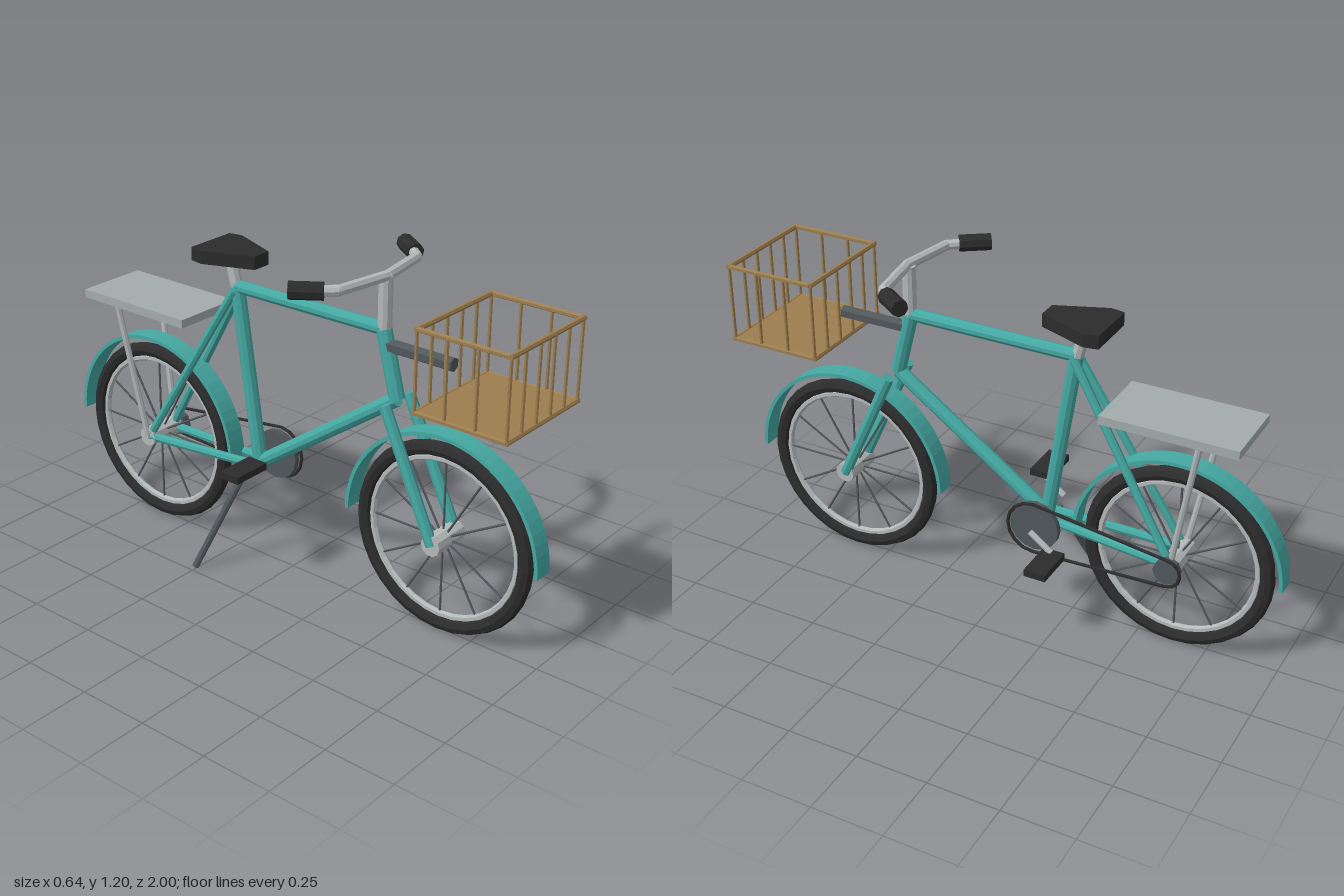
import * as THREE from 'three';

const mat = (name, color) => {
  const m = new THREE.MeshStandardMaterial({ color, flatShading: true });
  m.name = name;
  return m;
};

export function createModel() {
  const teal = mat('teal paint', 0x45a9a3);
  const black = mat('black rubber', 0x2c2c2c);
  const slate = mat('dark steel', 0x50575b);
  const silver = mat('silver metal', 0xb4b9b9);
  const rackGrey = mat('rack grey', 0xa3acab);
  const brown = mat('basket brown', 0x9c7d4e);

  const model = new THREE.Group();
  model.name = 'bicycle';
  const V = (p) => new THREE.Vector3(...p);

  const add = (name, geometry, material, pos = [0, 0, 0], parent = model) => {
    const mesh = new THREE.Mesh(geometry, material);
    mesh.name = name;
    mesh.position.set(...pos);
    parent.add(mesh);
    return mesh;
  };
  // straight round bar between two points
  const rod = (name, a, b, r, material, sides = 8, parent = model) => {
    const p = V(a), d = V(b).sub(p);
    const mesh = add(name, new THREE.CylinderGeometry(r, r, d.length(), sides), material, [0, 0, 0], parent);
    mesh.position.copy(p).addScaledVector(d, 0.5);
    mesh.quaternion.setFromUnitVectors(new THREE.Vector3(0, 1, 0), d.normalize());
    return mesh;
  };
  const box = (name, w, h, d, material, pos, parent) =>
    add(name, new THREE.BoxGeometry(w, h, d), material, pos, parent);

  // main points
  const axleY = 0.345, axleZ = 0.626;
  const headTop = [0, 1.0, 0.37], headBottom = [0, 0.776, 0.428];
  const seatTop = [0, 0.995, -0.242], bottomBracket = [0, 0.37, -0.147];

  // wheels with mudguards
  for (const [name, z] of [['frontWheel', axleZ], ['rearWheel', -axleZ]]) {
    const wheel = new THREE.Group();
    wheel.name = name;
    wheel.position.set(0, axleY, z);
    model.add(wheel);
    add('tyre', new THREE.TorusGeometry(0.311, 0.026, 8, 32), black, [0, 0, 0], wheel).rotation.y = Math.PI / 2;
    add('rim', new THREE.TorusGeometry(0.28, 0.012, 6, 32), silver, [0, 0, 0], wheel).rotation.y = Math.PI / 2;
    rod('hub', [-0.073, 0, 0], [0.073, 0, 0], 0.036, silver, 10, wheel);
    for (let i = 0; i < 12; i++) {
      const a = (i * Math.PI) / 6;
      rod('spoke', [0, 0, 0], [0, 0.275 * Math.sin(a), 0.275 * Math.cos(a)], 0.004, slate, 5, wheel);
    }
    const arc = new THREE.Shape();
    arc.absarc(0, 0, 0.373, 0, Math.PI, false);
    arc.absarc(0, 0, 0.36, Math.PI, 0, true);
    const guard = new THREE.ExtrudeGeometry(arc, { depth: 0.07, bevelEnabled: false, curveSegments: 16 });
    guard.translate(0, 0, -0.035).rotateY(Math.PI / 2);
    add('mudguard', guard, teal, [0, 0, 0], wheel);
  }

  // frame
  rod('headTube', headBottom, headTop, 0.026, teal, 10);
  rod('topTube', headTop, seatTop, 0.023, teal, 10);
  rod('downTube', headBottom, bottomBracket, 0.025, teal, 10);
  rod('seatTube', seatTop, bottomBracket, 0.025, teal, 10);
  for (const s of [-1, 1]) {
    rod('forkBlade', [s * 0.065, 0.775, 0.428], [s * 0.065, axleY, axleZ], 0.02, teal);
    rod('seatStay', [s * 0.018, 0.985, -0.242], [s * 0.06, axleY, -axleZ], 0.015, teal);
    rod('chainStay', [s * 0.03, 0.37, -0.147], [s * 0.06, axleY, -axleZ], 0.016, teal);
    rod('rackStrut', [s * 0.07, axleY, -axleZ], [s * 0.107, 0.85, -0.715], 0.011, silver);
  }

  // saddle
  rod('seatPost', [0, 0.97, -0.24], [0, 1.09, -0.27], 0.021, silver);
  const outline = [[-0.095, 0.36], [0.095, 0.36], [0.103, 0.31], [0.035, 0.135], [-0.035, 0.135], [-0.103, 0.31]];
  const saddleShape = new THREE.Shape(outline.map(([x, y]) => new THREE.Vector2(x, y)));
  const saddle = new THREE.ExtrudeGeometry(saddleShape, { depth: 0.046, bevelEnabled: false });
  add('saddle', saddle.rotateX(-Math.PI / 2), black, [0, 1.086, 0]);

  // stem, handlebar and grips
  rod('stem', [0, 0.985, 0.373], [0, 1.175, 0.373], 0.023, silver, 10);
  for (const s of [-1, 1]) {
    const bend = [s * 0.2, 1.177, 0.345];
    rod('handlebarInner', [0, 1.177, 0.378], bend, 0.018, silver);
    rod('handlebarOuter', bend, [s * 0.27, 1.177, 0.265], 0.018, silver);
    add('handlebarBend', new THREE.SphereGeometry(0.018, 8, 6), silver, bend);
    rod('grip', [s * 0.233, 1.177, 0.316], [s * 0.295, 1.177, 0.227], 0.029, black);
  }

  // basket
  const basket = new THREE.Group();
  basket.name = 'basket';
  model.add(basket);
  const x1 = 0.195, z0 = 0.633, z1 = 0.958, y0 = 0.857, y1 = 1.125;
  box('basketFloor', 0.39, 0.012, 0.325, brown, [0, y0, (z0 + z1) / 2], basket);
  for (const y of [y0, y1]) {
    for (const z of [z0, z1]) rod('rail', [-x1 - 0.006, y, z], [x1 + 0.006, y, z], 0.009, brown, 6, basket);
    for (const s of [-1, 1]) rod('rail', [s * x1, y, z0], [s * x1, y, z1], 0.009, brown, 6, basket);
  }
  const bar = (x, z) => rod('basketBar', [x, y0, z], [x, y1, z], 0.006, brown, 6, basket);
  for (let i = 0; i < 6; i++) for (const z of [z0, z1]) bar(-x1 + (i * 2 * x1) / 5, z);
  for (let i = 1; i < 3; i++) for (const s of [-1, 1]) bar(s * x1, z0 + (i * (z1 - z0)) / 3);
  rod('basketBracket', [0, 0.95, 0.385], [0, 0.95, 0.638], 0.024, slate, 6);

  // luggage rack
  box('rackPlate', 0.26, 0.03, 0.47, rackGrey, [0, 0.861, -0.616]);

  // drivetrain
  rod('chainring', [0.078, 0.37, -0.145], [0.098, 0.37, -0.145], 0.09, slate, 16);
  rod('sprocket', [0.075, axleY, -axleZ], [0.105, axleY, -axleZ], 0.046, slate, 8);
  const chain = [];
  for (let i = 0; i <= 8; i++) {
    const a = Math.PI / 2 - (i * Math.PI) / 8;
    chain.push([0.108, 0.37 + 0.094 * Math.sin(a), -0.145 + 0.094 * Math.cos(a)]);
  }
  for (let i = 0; i <= 6; i++) {
    const a = -Math.PI / 2 - (i * Math.PI) / 6;
    chain.push([0.108, axleY + 0.052 * Math.sin(a), -axleZ + 0.052 * Math.cos(a)]);
  }
  chain.forEach((p, i) => rod('chainLink', p, chain[(i + 1) % chain.length], 0.006, black, 6));

  // cranks and pedals
  for (const s of [-1, 1]) {
    rod('crankArm', [s * 0.128, 0.368, -0.145], [s * 0.128, 0.37 - s * 0.062, -0.145 - s * 0.08], 0.011, silver);
    box('pedal', 0.147, 0.025, 0.078, black, [s * 0.187, 0.367 - s * 0.069, -0.145 - s * 0.085]);
  }

  // kickstand
  rod('kickstand', [-0.07, 0.36, -0.155], [-0.237, 0.018, -0.248], 0.012, slate);

  return model;
}
